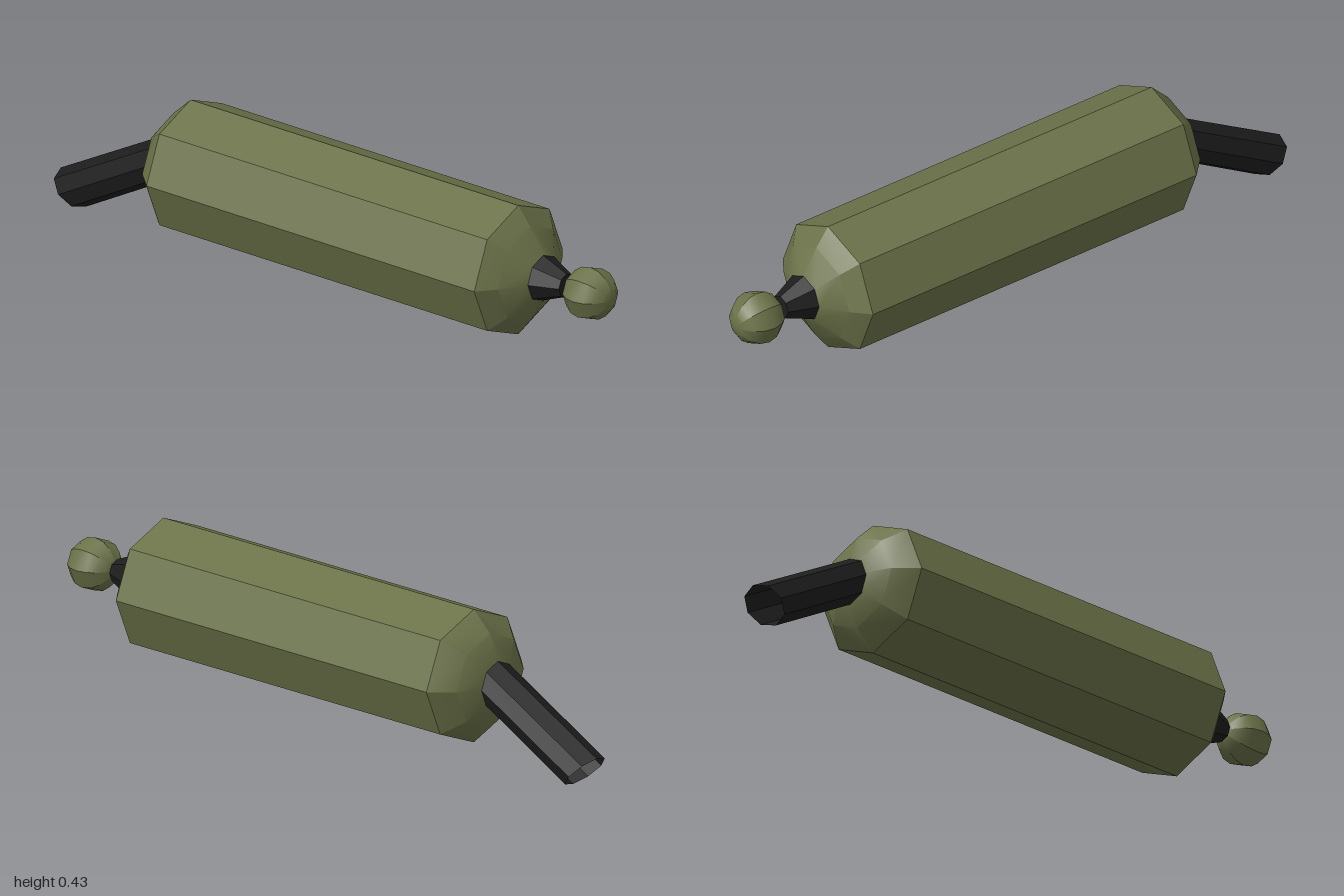
import * as THREE from 'three';
import { toCreasedNormals } from 'three/addons/utils/BufferGeometryUtils.js';

const SIDES = 8;
const AXIS_Y = 0.235;
const CREASE = THREE.MathUtils.degToRad(25);

export function createModel() {
  const olive = new THREE.MeshStandardMaterial({ color: 0x6b7249 });
  olive.name = 'olive';
  const black = new THREE.MeshStandardMaterial({ color: 0x1d1d1d, side: THREE.DoubleSide });
  black.name = 'black';

  const model = new THREE.Group();
  model.name = 'canister';

  function add(name, geometry, material) {
    const mesh = new THREE.Mesh(toCreasedNormals(geometry, CREASE), material);
    mesh.name = name;
    model.add(mesh);
    return mesh;
  }

  // Eight-sided solid along z from [radius, z] points, back to front
  function turned(name, profile, material) {
    const points = profile.map(([r, z]) => new THREE.Vector2(r, z));
    const geometry = new THREE.LatheGeometry(points, SIDES).rotateX(Math.PI / 2);
    add(name, geometry, material).position.y = AXIS_Y;
  }

  // Main body with rounded back and tapered front
  turned('body', [
    [0, -0.625], [0.07, -0.622], [0.14, -0.592], [0.198, -0.53],
    [0.198, 0.657], [0.145, 0.7], [0.07, 0.747], [0, 0.749],
  ], olive);

  // Short tapered neck
  turned('neck', [[0.07, 0.745], [0.035, 0.832], [0, 0.832]], black);

  // Ball on the front, poles along z
  const ball = new THREE.SphereGeometry(0.079, SIDES, 8).rotateX(Math.PI / 2);
  add('frontBall', ball, olive).position.set(0, AXIS_Y, 0.918);

  // Slanted open tube at the back, its rim cut at an angle
  const tube = new THREE.CylinderGeometry(1, 1, 1, SIDES, 1, true);
  const pos = tube.attributes.position;
  const { lerp } = THREE.MathUtils;
  for (let i = 0; i < pos.count; i++) {
    const t = 0.5 - pos.getY(i);
    const up = -pos.getZ(i);
    pos.setXYZ(
      i,
      pos.getX(i) * 0.068,
      lerp(0.234, 0.048, t) + up * lerp(0.071, 0.048, t),
      lerp(-0.612, -0.955, t) + up * lerp(0, -0.045, t),
    );
  }
  add('rearTube', tube, black);

  return model;
}
